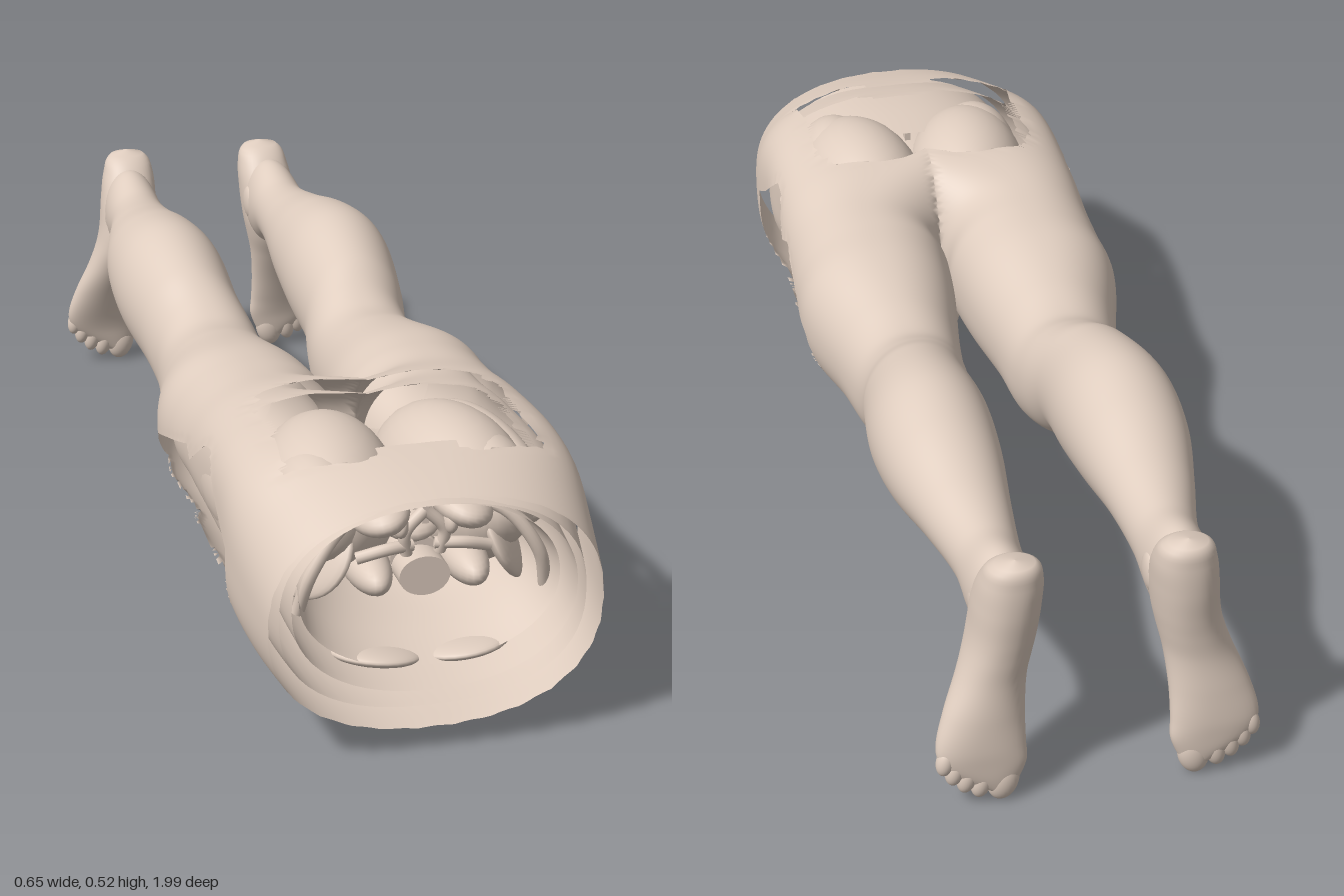
import * as THREE from 'three';

const skinMat = new THREE.MeshStandardMaterial({ color: 0xdfcdbf, side: THREE.DoubleSide });

// Smooth interpolation through rows of [station, centreX, radiusX, low, high, power]
function sample(keys, s) {
  let i = 0;
  while (i < keys.length - 2 && s < keys[i + 1][0]) i++;
  const a = keys[i], b = keys[i + 1], h = b[0] - a[0], t = (s - a[0]) / h;
  const p = keys[i - 1] || a, n = keys[i + 2] || b;
  return a.map((v, k) => {
    if (k === 0) return s;
    const m0 = (b[k] - p[k]) / (b[0] - p[0]) * h, m1 = (n[k] - v) / (n[0] - a[0]) * h;
    const t2 = t * t, t3 = t2 * t;
    return (2 * t3 - 3 * t2 + 1) * v + (t3 - 2 * t2 + t) * m0 + (3 * t2 - 2 * t3) * b[k] + (t3 - t2) * m1;
  });
}

const edges = poly => poly.map((p, i) => [p, poly[(i + 1) % poly.length]]);

function inside(poly, u, v) {
  let hit = false;
  for (const [[x1, y1], [x2, y2]] of edges(poly))
    if ((y1 > v) !== (y2 > v) && u < (x2 - x1) * (v - y1) / (y2 - y1) + x1) hit = !hit;
  return hit;
}

// Nearest outline point within reach, so that the rim of an opening is clean
function snap(poly, u, v, reach) {
  let best = [u, v], d = reach;
  for (const [[x1, y1], [x2, y2]] of edges(poly)) {
    const dx = x2 - x1, dy = y2 - y1;
    const t = THREE.MathUtils.clamp(((u - x1) * dx + (v - y1) * dy) / (dx * dx + dy * dy), 0, 1);
    const q = [x1 + t * dx, y1 + t * dy], e = Math.hypot(q[0] - u, q[1] - v);
    if (e < d) { d = e; best = q; }
  }
  return best;
}

// Loft of rounded sections along -z, cut off at the midline x = 0, with optional openings
function loft(keys, rows, cols, { inset = 0, from = keys[0][0], to = keys[keys.length - 1][0], openings = [] } = {}) {
  const pos = [], idx = [];
  for (let i = 0; i <= rows; i++) {
    const s = from + (to - from) * i / rows;
    const [, cx, rx, lo, hi, p] = sample(keys, s);
    for (let j = 0; j < cols; j++) {
      const a = j / cols * Math.PI * 2, c = Math.cos(a), n = Math.sin(a);
      const r = (Math.abs(c) ** p + Math.abs(n) ** p) ** (-1 / p);
      const x = cx + (rx - inset) * c * r;
      const pt = [x < 1e-4 ? 0 : x, (lo + hi) / 2 + ((hi - lo) / 2 - inset) * n * r, s];
      for (const o of openings) if (pt[0] > 0 && o.zone(...pt)) [pt[o.u], pt[o.v]] = snap(o.poly, pt[o.u], pt[o.v], .0075);
      pos.push(...pt);
    }
  }
  for (let i = 0; i < rows; i++) for (let j = 0; j < cols; j++) {
    const k = (j + 1) % cols, a = i * cols + j, b = i * cols + k, c = a + cols, d = b + cols;
    for (const tri of [[a, c, b], [b, c, d]]) {
      const mid = [0, 1, 2].map(q => tri.reduce((sum, t) => sum + pos[t * 3 + q], 0) / 3);
      if (mid[0] < 1e-4 || openings.some(o => o.zone(...mid) && inside(o.poly, mid[o.u], mid[o.v]))) continue;
      idx.push(...tri);
    }
  }
  const g = new THREE.BufferGeometry();
  g.setAttribute('position', new THREE.Float32BufferAttribute(pos, 3));
  g.setIndex(idx);
  g.computeVertexNormals();
  // Level the normals on the midline so both halves shade as one
  const N = g.attributes.normal, v = new THREE.Vector3();
  for (let i = 0; i < N.count; i++) if (pos[i * 3] === 0) {
    v.set(0, N.getY(i), N.getZ(i)).normalize();
    N.setXYZ(i, v.x, v.y, v.z);
  }
  return g;
}

function add(parent, name, geo) {
  const m = new THREE.Mesh(geo, skinMat);
  m.name = name;
  parent.add(m);
  return m;
}

function blob(parent, name, [x, y, z], [a, b, c], rot = [0, 0, 0]) {
  const m = add(parent, name, new THREE.SphereGeometry(1, 28, 18));
  m.position.set(x, y, z);
  m.scale.set(a, b, c);
  m.rotation.set(...rot);
  return m;
}

function tube(parent, name, pts, r) {
  const curve = new THREE.CatmullRomCurve3(pts.map(p => new THREE.Vector3(...p)));
  return add(parent, name, new THREE.TubeGeometry(curve, 20, r, 12));
}

// Half torso running into one leg
const BODY = [
  [1, 0, .3, .048, .482, 2.3], [.9, 0, .315, .065, .51, 2.6], [.8, 0, .325, .105, .528, 3.1],
  [.7, 0, .323, .14, .528, 3.5], [.6, .012, .31, .15, .526, 3.3], [.5, .1, .224, .155, .515, 2.7],
  [.4, .16, .164, .16, .494, 2.3], [.3, .163, .162, .164, .486, 2.2], [.2, .168, .157, .168, .478, 2.2],
  [.05, .161, .127, .178, .448, 2.1], [-.05, .157, .112, .182, .432, 2.2], [-.12, .158, .106, .198, .455, 2.1],
  [-.2, .17, .106, .23, .49, 2], [-.36, .178, .116, .255, .525, 2], [-.5, .178, .108, .285, .51, 2],
  [-.65, .171, .083, .317, .475, 2], [-.78, .162, .062, .318, .457, 2], [-.88, .16, .058, .29, .475, 2],
  [-.95, .157, .045, .34, .46, 2],
];
// Foot, lofted downwards from heel to toes (low = instep, high = sole)
const FOOT = [
  [.503, .153, .0005, .958, .959, 2], [.494, .153, .038, .922, .985, 2], [.46, .154, .054, .885, .992, 2.2],
  [.4, .159, .06, .845, .992, 2.2], [.34, .165, .06, .835, .986, 2.2], [.3, .173, .06, .844, .982, 2.2],
  [.25, .187, .063, .868, .98, 2.1], [.18, .205, .074, .903, .987, 2.1], [.12, .213, .081, .929, .991, 2.3],
  [.085, .207, .076, .941, .99, 2.4], [.055, .195, .054, .947, .988, 2.2], [.025, .178, .022, .953, .983, 2],
];
// Walls of the waist and the bowl of the pelvis
const WALL = [[.985, 0, .256, .115, .465, 2.2], [.85, 0, .262, .14, .47, 2.3], [.72, 0, .25, .17, .465, 2.3]];
const CAVITY = [
  [.95, 0, .235, .145, .45, 2.1], [.85, 0, .215, .175, .44, 2.1],
  [.7, 0, .17, .19, .42, 2], [.58, 0, .1, .22, .37, 2], [.53, 0, .01, .28, .3, 2],
];
// Openings in the skin: hip in (z, y), seat in (x, z)
const HIP = [[.78, .33], [.7, .37], [.6, .44], [.56, .43], [.48, .37], [.44, .385], [.35, .355], [.2, .31],
  [.155, .24], [.25, .23], [.35, .205], [.45, .23], [.55, .215], [.65, .205], [.78, .22]];
const SEAT = [[-.1, .54], [0, .54], [.05, .515], [.1, .505], [.2, .525], [.235, .6], [.22, .67], [.225, .75], [.235, .84],
  [.17, .86], [.1, .88], [.06, .845], [-.1, .845]];
const seat = { poly: SEAT, u: 0, v: 2, zone: (x, y) => y > .36 };
const hip = { poly: HIP, u: 2, v: 1, zone: x => x > .18 };

function buildSide() {
  const side = new THREE.Group();
  const skin = add(side, 'skin', loft(BODY, 190, 112, { openings: [hip, seat] }));
  // Slightly ragged cut edge
  const P = skin.geometry.attributes.position;
  for (let j = 0; j < 112; j++) P.setZ(j, 1 - .006 * Math.abs(Math.sin(j * 2.3)));
  add(side, 'muscleLayer', loft(BODY, 80, 64, { inset: .028, from: .975, to: .05, openings: [seat] }));
  add(side, 'abdominalWall', loft(WALL, 12, 64));
  add(side, 'abdominalCavity', loft(CAVITY, 30, 64));
  // Buttock spreading outwards towards the waist
  blob(side, 'buttock', [.115, .37, .68], [.128, .135, .21], [0, .14, 0]);
  blob(side, 'upperButtock', [.155, .385, .76], [.085, .1, .14]);
  blob(side, 'hipMuscle', [.235, .32, .5], [.064, .09, .3], [-.12, .04, 0]);

  // Foot with five toes
  const foot = new THREE.Group();
  foot.name = 'foot';
  add(foot, 'footBody', loft(FOOT, 60, 40)).rotation.x = -Math.PI / 2;
  [[.174, .045, .029, 1.5], [.213, .05, .02, 1.9], [.239, .062, .019, 1.9], [.261, .078, .018, 1.8], [.278, .098, .017, 1.7]]
    .forEach(([x, y, r, k]) => blob(foot, 'toe', [x, y, -.968], [r, r * k, Math.min(r, .021)], [0, 0, .2]));
  blob(foot, 'outerAnkle', [.206, .375, -.88], [.013, .036, .036]);
  blob(foot, 'innerAnkle', [.11, .385, -.875], [.013, .036, .036]);
  side.add(foot);

  // Muscles and bones seen inside the waist
  blob(side, 'loinMuscle', [.088, .3, .83], [.042, .04, .12]);
  blob(side, 'backMuscle', [.075, .415, .87], [.055, .034, .09], [0, 0, -.25]);
  blob(side, 'bellyMuscle', [.08, .145, .88], [.085, .018, .09], [-.2, 0, .12]);
  blob(side, 'hipBone', [.175, .325, .78], [.024, .1, .13], [0, -.3, .45]);
  tube(side, 'sideProcess', [[.02, .355, .9], [.07, .355, .91], [.12, .34, .9]], .011);
  tube(side, 'hipCrest', [[.07, .44, .88], [.15, .405, .91], [.205, .33, .92], [.225, .25, .9]], .012);
  tube(side, 'vertebralArch', [[.03, .34, .9], [.035, .385, .91], [0, .425, .91]], .011);
  blob(side, 'jointProcess', [.045, .4, .91], [.014, .024, .025]);
  return side;
}

export function createModel() {
  const model = new THREE.Group();
  model.name = 'lowerBodyAnatomy';
  const left = buildSide();
  left.name = 'leftSide';
  const right = left.clone();
  right.name = 'rightSide';
  right.scale.x = -1;
  model.add(left, right);

  // Lower spine
  for (let i = 0; i < 3; i++) {
    const body = add(model, 'vertebra', new THREE.CylinderGeometry(.046, .046, .05, 32));
    body.rotation.x = Math.PI / 2;
    body.scale.z = .8;
    body.position.set(0, .3 + i * .012, .89 - i * .06);
    const spine = add(model, 'spinousProcess', new THREE.BoxGeometry(.012, .05, .04));
    spine.position.set(0, .425, .895 - i * .06);
  }
  blob(model, 'sacrum', [0, .38, .72], [.08, .04, .15], [.2, 0, 0]);
  blob(model, 'pubicBone', [0, .2, .64], [.1, .025, .04]);

  // External soft tissue on the front of the pelvis
  tube(model, 'frontSoftTissue', [[0, .17, .63], [0, .125, .6], [0, .105, .555], [0, .1, .51]], .024);
  blob(model, 'frontSoftTissueEnd', [0, .1, .495], [.027, .028, .032]);
  [-1, 1].forEach(s => blob(model, 'frontSoftTissueLobe', [s * .03, .122, .525], [.033, .032, .04]));
  return model;
}
